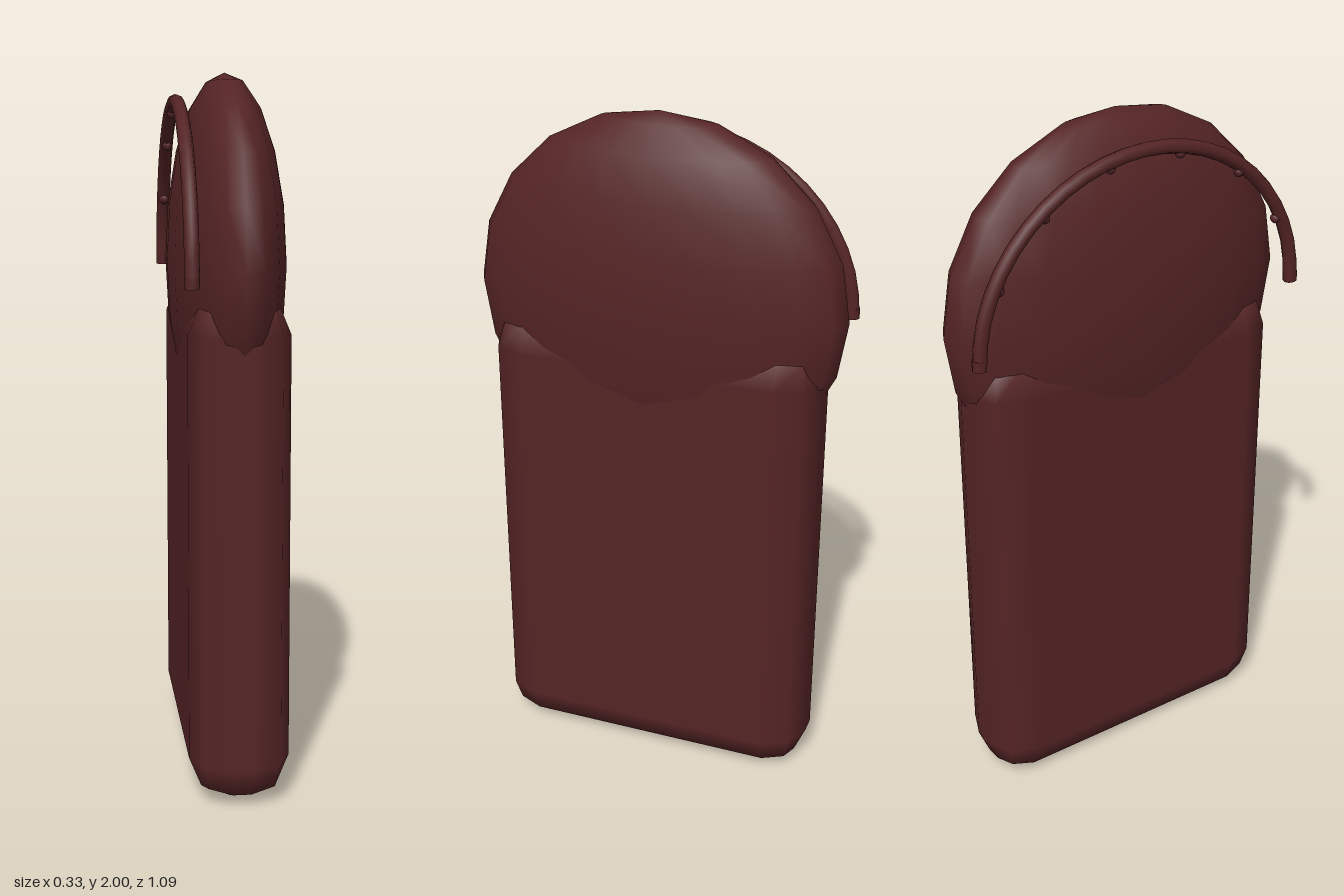
import * as THREE from 'three';
import { RoundedBoxGeometry } from 'three/addons/geometries/RoundedBoxGeometry.js';

export function createModel() {
  const model = new THREE.Group();
  const maroon = new THREE.MeshStandardMaterial({ color: 0x552425 });
  maroon.name = 'dark maroon';

  const add = (name, geometry, x, y, z, parent = model) => {
    const mesh = new THREE.Mesh(geometry, maroon);
    mesh.name = name;
    mesh.position.set(x, y, z);
    parent.add(mesh);
    return mesh;
  };

  // Upright slab with softly bevelled edges
  add('body', new RoundedBoxGeometry(0.28, 1.41, 0.98, 1, 0.115), 0, 0.705, 0);

  // Flattened dome sunk into the top of the slab
  add('dome', new THREE.SphereGeometry(1, 20, 10), 0, 1.47, 0).scale.set(0.165, 0.53, 0.545);

  // Arched rail on the right side, slightly lower than a half circle
  const rail = new THREE.Group();
  rail.name = 'archedRail';
  rail.position.set(-0.14, 1.43, 0);
  model.add(rail);
  const RY = 0.49, RZ = 0.52, TUBE = 0.02;
  const pointAt = (angle, inset = 0) => new THREE.Vector3(
    0, (RY - inset) * Math.sin(angle), (RZ - inset) * Math.cos(angle));
  const points = [];
  for (let i = 0; i <= 16; i++) points.push(pointAt(Math.PI * i / 16));
  add('railTube', new THREE.TubeGeometry(new THREE.CatmullRomCurve3(points), 24, TUBE, 8), 0, 0, 0, rail);

  // End caps
  for (const side of [1, -1]) {
    add('railEnd', new THREE.CylinderGeometry(TUBE, TUBE, 0.03, 8), 0, 0.015, side * RZ, rail);
  }

  // Small studs along the inner edge of the rail
  for (let i = 1; i <= 6; i++) {
    const p = pointAt(Math.PI * i / 7, 0.018);
    add('railStud', new THREE.SphereGeometry(0.015, 8, 6), p.x, p.y, p.z, rail);
  }
  return model;
}
